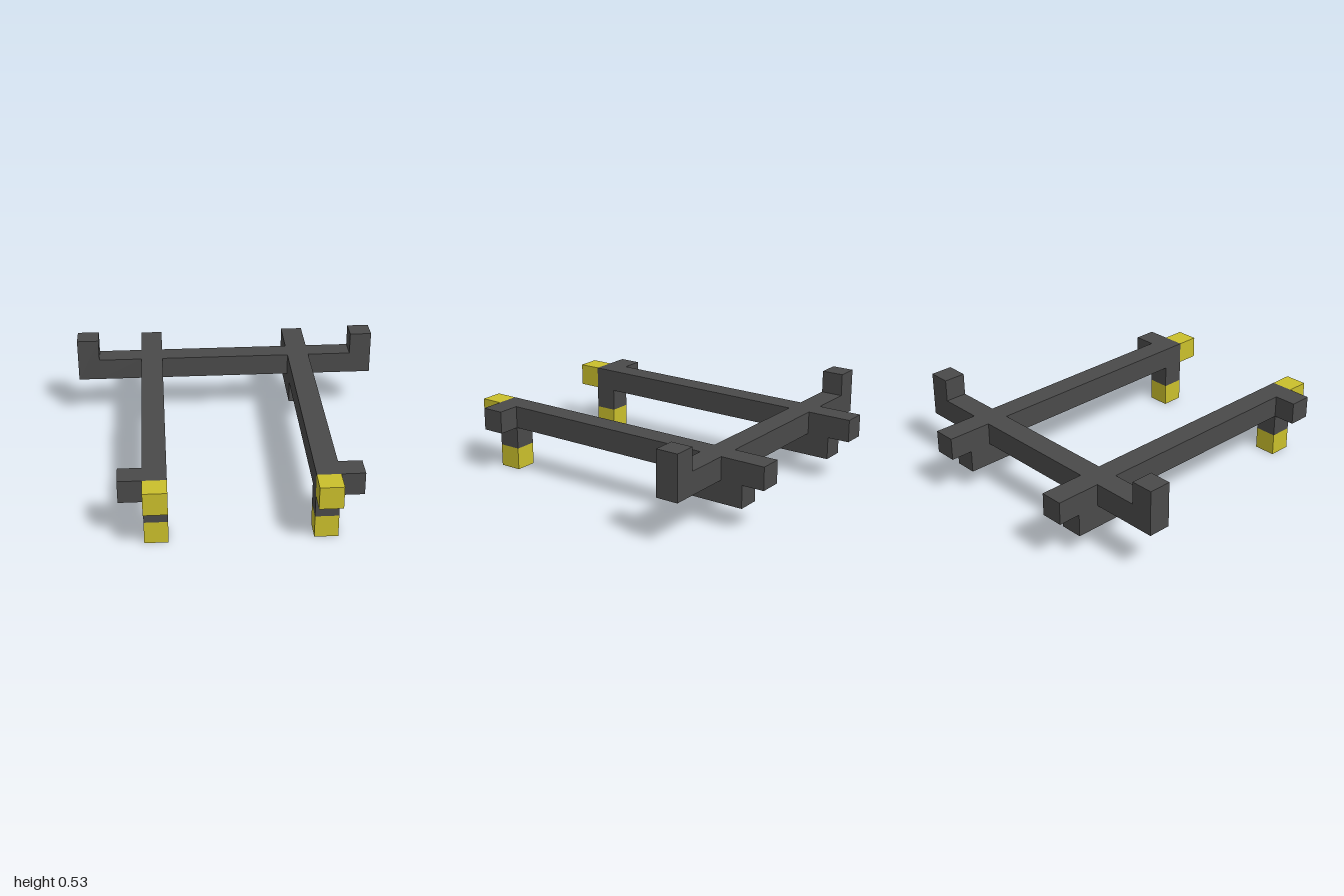
import * as THREE from 'three';

// Everything sits on a grid of 15 cells along the longest side
const U = 2 / 15;

export function createModel() {
  const model = new THREE.Group();
  model.name = 'frame';

  const darkGrey = new THREE.MeshStandardMaterial({ color: 0x4a4a4a });
  darkGrey.name = 'dark grey';
  const yellow = new THREE.MeshStandardMaterial({ color: 0xcbc02c });
  yellow.name = 'yellow';

  // Box between two corners given in grid cells
  function bar(parent, name, material, [x0, y0, z0], [x1, y1, z1]) {
    const mesh = new THREE.Mesh(
      new THREE.BoxGeometry((x1 - x0) * U, (y1 - y0) * U, (z1 - z0) * U), material);
    mesh.position.set((x0 + x1) / 2 * U, (y0 + y1) / 2 * U, (z0 + z1) / 2 * U);
    mesh.name = name;
    parent.add(mesh);
  }

  // Same bar on the left (+x) and mirrored on the right
  function pair(name, material, [x0, y0, z0], [x1, y1, z1]) {
    bar(left, name, material, [x0, y0, z0], [x1, y1, z1]);
    bar(right, name, material, [-x1, y0, z0], [-x0, y1, z1]);
  }

  const left = new THREE.Group();
  left.name = 'leftSide';
  const right = new THREE.Group();
  right.name = 'rightSide';
  model.add(left, right);

  // Long rails with yellow tips
  pair('rail', darkGrey, [3, 2, -7.5], [4, 3, 6.5]);
  pair('railTip', yellow, [3, 2, 6.5], [4, 3, 7.5]);

  // Front legs, feet and outward stubs
  pair('frontLeg', darkGrey, [3, 1, 5.5], [4, 2, 6.5]);
  pair('frontFoot', yellow, [3, 0, 5.5], [4, 1, 6.5]);
  pair('sideStub', darkGrey, [4, 2, 5.5], [5, 3, 6.5]);

  // Blocks under the rear of the rails
  pair('rearBlock', darkGrey, [3, 1, -6.5], [4, 2, -3.5]);

  // Rear crossbar with upturned ends
  bar(model, 'crossbar', darkGrey, [-3, 2, -5.5], [3, 3, -4.5]);
  pair('crossbarArm', darkGrey, [4, 2, -5.5], [6, 3, -4.5]);
  pair('upright', darkGrey, [6, 2, -5.5], [7, 4, -4.5]);

  return model;
}
